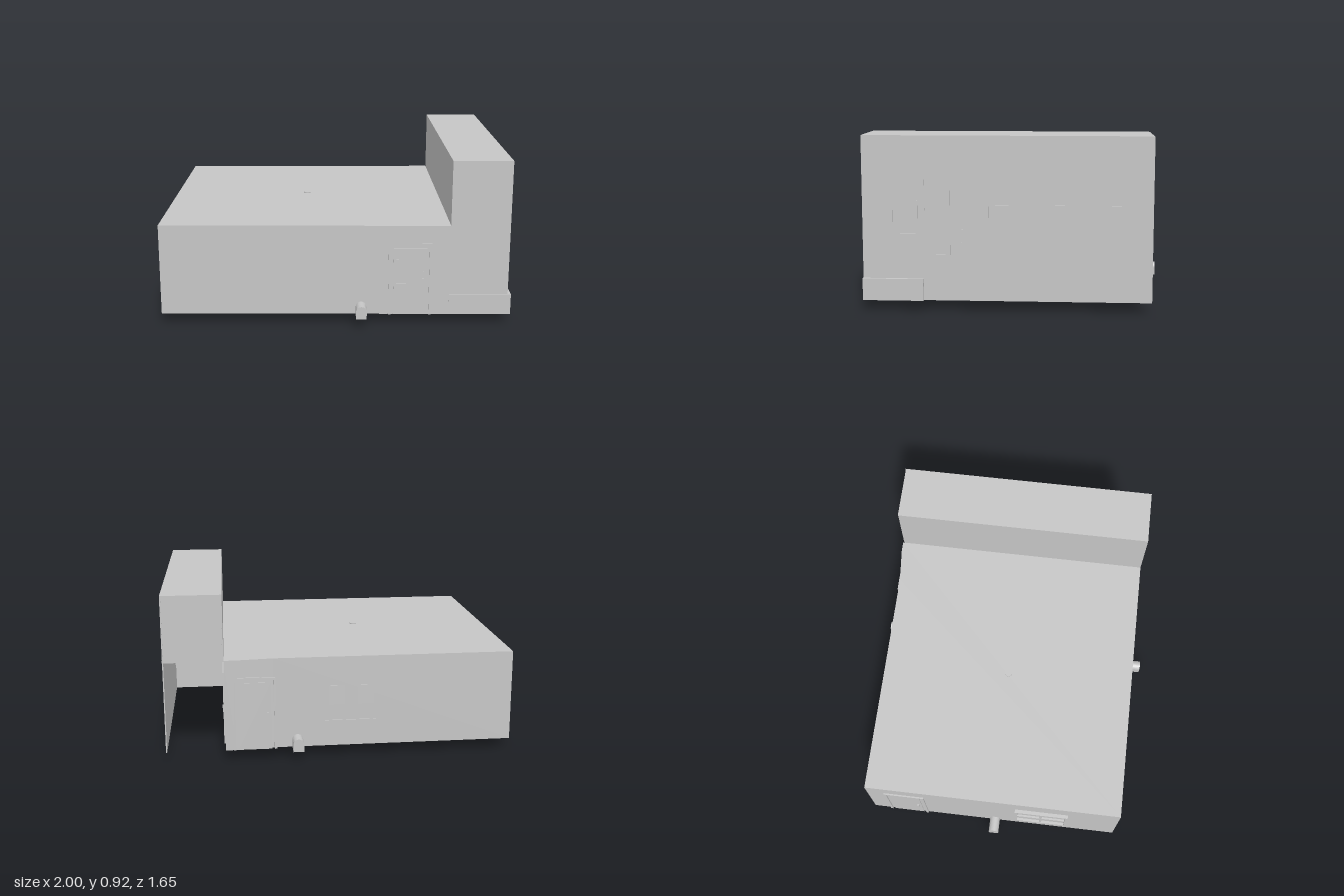
import * as THREE from 'three';

export function createModel() {
  const model = new THREE.Group();
  const grey = new THREE.MeshStandardMaterial({ color: 0xc6c6c6 });
  grey.name = 'plain grey';
  const base = 0.057, roof = 0.56, top = 0.915;

  function add(name, geometry, parent = model) {
    const mesh = new THREE.Mesh(geometry, grey);
    mesh.name = name;
    parent.add(mesh);
    return mesh;
  }
  // box given by its two opposite corners
  function block(name, x0, x1, y0, y1, z0, z1, parent = model) {
    const mesh = add(name, new THREE.BoxGeometry(x1 - x0, y1 - y0, z1 - z0), parent);
    mesh.position.set((x0 + x1) / 2, (y0 + y1) / 2, (z0 + z1) / 2);
    return mesh;
  }
  // group whose local +z points out of a wall
  function onWall(name, x, y, z, turn) {
    const group = new THREE.Group();
    group.name = name;
    group.position.set(x, y, z);
    group.rotation.y = turn;
    model.add(group);
    return group;
  }
  function frame(w, h, bar, depth, parent) {
    for (const s of [-1, 1]) {
      const x = s * (w - bar) / 2;
      block('frameSide', x - bar / 2, x + bar / 2, 0, h, 0, depth, parent);
    }
    block('frameTop', -w / 2 + bar, w / 2 - bar, h - bar, h, 0, depth, parent);
  }

  // main room, with its back wall flaring slightly beside the stairwell
  const plan = new THREE.Shape([
    [-0.915, 0.735], [-0.915, -0.742], [0.4, -0.742], [0.6, -0.762], [0.66, -0.762], [0.66, 0.735],
  ].map(([x, z]) => new THREE.Vector2(x, z)));
  const room = add('mainRoom', new THREE.ExtrudeGeometry(plan, { depth: roof - base, bevelEnabled: false }));
  room.rotation.x = Math.PI / 2;
  room.position.y = roof;

  // stairwell shell: open below and behind under the upper corridor
  const t = 0.006;
  block('stairwellOuterWall', 0.98 - t, 0.98, base, top, -0.76, 0.735);
  block('stairwellFrontWall', 0.66, 0.98 - t, base, top, 0.735 - t, 0.735);
  block('stairwellInnerWall', 0.66, 0.66 + t, roof, top, -0.75, 0.735 - t);
  block('stairwellBackWall', 0.66 + t, 0.98 - t, roof, top, -0.757, -0.75);
  block('stairwellCeiling', 0.66, 0.98, top - t, top, -0.755, 0.735);
  block('corridorFloor', 0.66, 0.983, roof - 0.008, roof, -0.75, 0.02);
  block('landing', 0.66, 0.998, base, 0.172, 0.42, 0.737);
  block('lowerWallPlate', 0.656, 0.662, 0, base + 0.02, -0.405, 0.42);

  // zigzag flight of stairs
  const steps = 6, rise = (roof - 0.172) / steps, run = 0.4 / steps;
  const upper = [new THREE.Vector2(0.42, 0.172)];
  for (let i = 0; i < steps; i++) {
    const y = 0.172 + rise * (i + 1);
    upper.push(new THREE.Vector2(0.42 - run * i, y), new THREE.Vector2(0.42 - run * (i + 1), y));
  }
  const lower = upper.map((p) => new THREE.Vector2(p.x - 0.007, p.y - 0.007)).reverse();
  const flight = add('stairs', new THREE.ExtrudeGeometry(
    new THREE.Shape([...upper, ...lower]), { depth: 0.324, bevelEnabled: false }));
  flight.rotation.y = -Math.PI / 2;
  flight.position.x = 0.984;

  // doors
  const doors = [
    ['frontDoor', 0.445, 0.735, 0, 4],
    ['backDoor', 0.5, -0.757, Math.PI, 0],
    ['leftDoor', -0.915, -0.525, -Math.PI / 2, 0],
    ['underStairDoor', 0.66, -0.54, Math.PI / 2, 0],
  ];
  for (const [name, x, z, turn, slats] of doors) {
    const door = onWall(name, x, base, z, turn);
    frame(0.235, 0.405, 0.014, 0.008, door);
    block('doorLeaf', -0.09, 0.09, 0, 0.375, 0, 0.004, door);
    block('doorHandle', 0.065, 0.075, 0.17, 0.21, 0.004, 0.012, door);
    for (let i = 0; i < slats; i++) {
      const y = 0.1 + i * 0.07;
      block('doorSlat', -0.075, 0.075, y, y + 0.006, 0.004, 0.007, door);
    }
  }

  // four-pane window in the right-hand wall
  const win = onWall('window', -0.915, 0.2, 0.285, -Math.PI / 2);
  frame(0.31, 0.235, 0.015, 0.02, win);
  block('windowSill', -0.155, 0.155, 0, 0.015, 0, 0.02, win);
  block('windowPane', -0.14, 0.14, 0.015, 0.22, 0, 0.005, win);
  block('verticalBar', -0.006, 0.006, 0.015, 0.22, 0.005, 0.016, win);
  block('horizontalBar', -0.14, 0.14, 0.11, 0.122, 0.005, 0.016, win);

  // picture frames beside the stairs
  for (const [z, y] of [[0.518, 0.4], [0.352, 0.52]]) {
    const picture = onWall('pictureFrame', 0.98, y, z, Math.PI / 2);
    frame(0.14, 0.18, 0.01, 0.006, picture);
    block('frameBottom', -0.06, 0.06, 0, 0.01, 0, 0.006, picture);
  }

  // thin wall panels and shelf
  block('frontPanel', -0.25, -0.01, 0.37, 0.48, 0.735, 0.738);
  block('backPanel', 0.01, 0.1, 0.29, 0.4, -0.746, -0.742);
  block('backPanel', -0.15, -0.06, 0.29, 0.4, -0.746, -0.742);
  block('backShelf', -0.16, 0.12, 0.195, 0.203, -0.748, -0.742);

  // round-topped stubs at floor level
  const arch = new THREE.Shape();
  arch.moveTo(-0.029, 0);
  arch.lineTo(0.029, 0);
  arch.lineTo(0.029, 0.042);
  arch.absarc(0, 0.042, 0.029, 0, Math.PI, false);
  const stubs = [[0.18, 0.735, 0], [0.27, -0.742, Math.PI], [-0.915, 0.008, -Math.PI / 2]];
  for (const [x, z, turn] of stubs) {
    add('archedStub', new THREE.ExtrudeGeometry(arch, { depth: 0.086, bevelEnabled: false, curveSegments: 8 }),
      onWall('stub', x, base, z, turn));
  }

  // roof button and round floor disc
  add('roofButton', new THREE.CylinderGeometry(0.02, 0.02, 0.008, 16)).position.set(-0.13, roof + 0.002, 0);
  add('floorDisc', new THREE.CylinderGeometry(0.33, 0.33, 0.006, 40)).position.set(-0.125, base, 0.24);

  return model;
}
